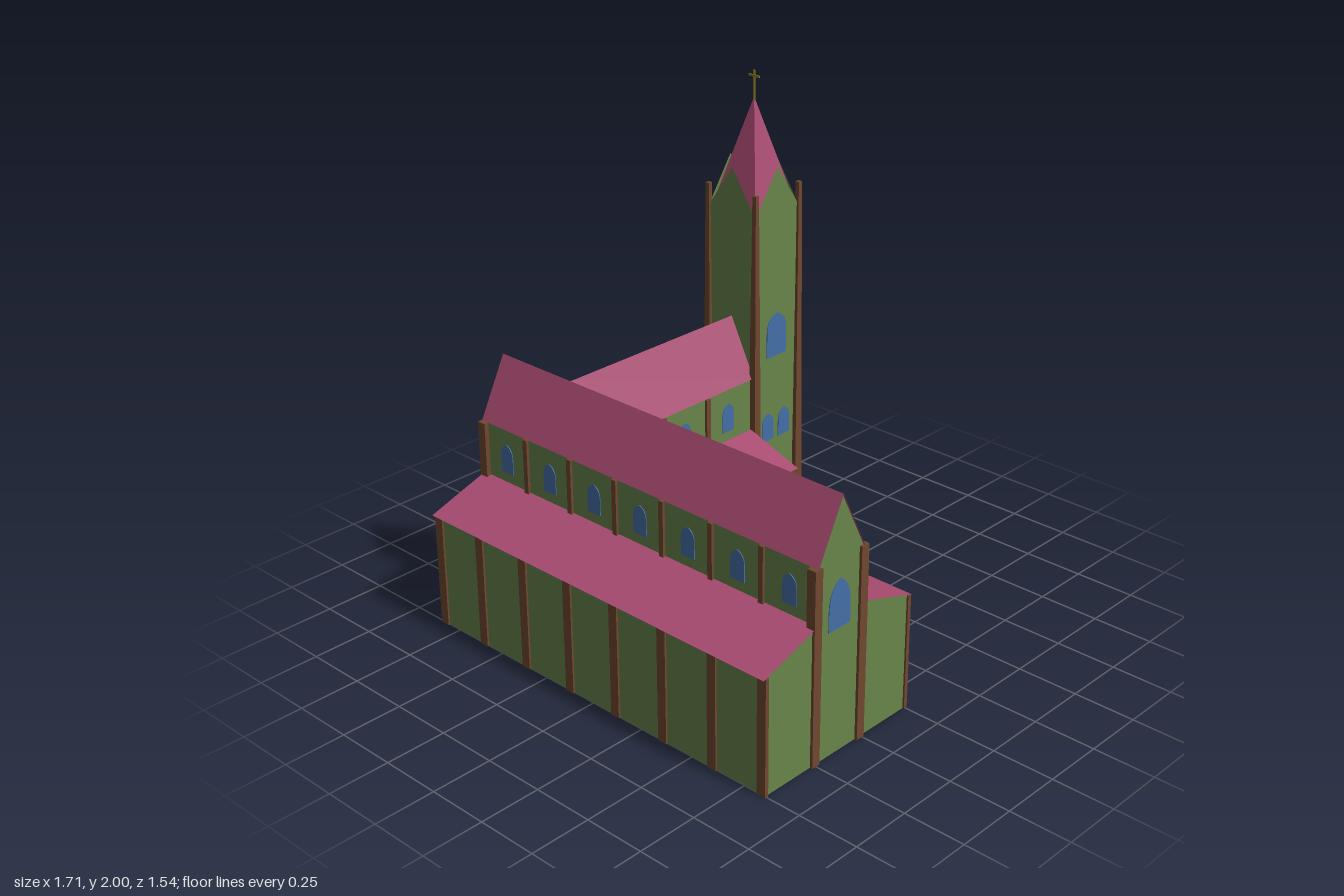
import * as THREE from 'three';

const mat = (color) => new THREE.MeshStandardMaterial({ color, side: THREE.DoubleSide, flatShading: true });

export function createModel() {
  const model = new THREE.Group();
  const green = mat(0x67854a), pink = mat(0xa84a70), brown = mat(0x70472f);
  const blue = mat(0x4470a8), gold = mat(0x8a7a20);

  const add = (name, geometry, material, parent = model) => {
    const mesh = new THREE.Mesh(geometry, material);
    mesh.name = name;
    parent.add(mesh);
    return mesh;
  };

  // Flat polygon through 3D corner points, triangulated along its main axis
  const sheet = (name, pts, material, parent) => {
    const v = pts.map((p) => new THREE.Vector3(...p));
    const n = new THREE.Vector3();
    v.forEach((a, i) => n.add(a.clone().cross(v[(i + 1) % v.length])));
    const [x, y, z] = n.toArray().map(Math.abs);
    const axes = x >= y && x >= z ? [1, 2] : y >= z ? [0, 2] : [0, 1];
    const flat = pts.map((p) => new THREE.Vector2(p[axes[0]], p[axes[1]]));
    const g = new THREE.BufferGeometry().setFromPoints(v);
    g.setIndex(THREE.ShapeUtils.triangulateShape(flat, []).flat());
    g.computeVertexNormals();
    return add(name, g, material, parent);
  };
  const wallX = (name, x, zy) => sheet(name, zy.map(([z, y]) => [x, y, z]), green);
  const wallZ = (name, z, xy) => sheet(name, xy.map(([x, y]) => [x, y, z]), green);
  const rect = (a, b, y0, y1) => [[a, y0], [b, y0], [b, y1], [a, y1]];

  const pillar = (name, x, z, y0, y1, w, d) =>
    add(name, new THREE.BoxGeometry(w, y1 - y0, d), brown).position.set(x, (y0 + y1) / 2, z);

  // Arched pane set into a wall; turn rotates it about y
  const arch = (name, x, y, z, w, h, turn, rise = 0.55, parent = model) => {
    const r = w / 2, spring = h - w * rise * 1.4, k = h - w * rise * 0.35;
    const s = new THREE.Shape().moveTo(-r, 0).lineTo(r, 0).lineTo(r, spring);
    s.quadraticCurveTo(r, k, 0, h).quadraticCurveTo(-r, k, -r, spring);
    const g = new THREE.ExtrudeGeometry(s, { depth: 0.006, bevelEnabled: false, curveSegments: 5 });
    const m = add(name, g.translate(0, 0, -0.003), blue, parent);
    m.position.set(x, y, z);
    m.rotation.y = turn;
  };

  // Main dimensions
  const E = 0.845, F = 0.75, N = -0.475, low = 0.472, mid = 0.56, eave = 0.78, top = 1.02;
  const zf = 0.5, zr = 0.38, zb = 0.26;              // nave: front, ridge, back
  const xw = -0.6, xr = -0.475, xe = -0.355;         // wing: west, ridge, east
  const xi = -0.11, zi = 0;                          // inner corner of the aisles
  const R = 0.853;

  // Aisle walls
  wallZ('frontAisleWall', F, rect(-E, E, 0, low));
  wallZ('backAisleWall', zi, rect(xi, E, 0, low));
  wallX('wingAisleWall', xi, rect(N, zi, 0, low));

  // End walls with gables
  wallX('eastGableWall', E, [[F, 0], [F, low], [zf, mid], [zf, eave], [zr, top], [zb, eave],
    [zb, mid], [zi, low], [zi, 0]]);
  wallX('westGableWall', -E, [[F, 0], [F, low], [zf, mid], [zf, eave], [zr, top], [zb, eave],
    [zb, low], [N, low], [N, 0]]);
  wallZ('wingGableWall', N, [[-E, 0], [-E, low], [xw, mid], [xw, eave], [xr, top], [xe, eave],
    [xe, mid], [xi, low], [xi, 0]]);

  // Clerestory walls
  wallZ('naveFrontClerestory', zf, rect(-E, E, mid, eave));
  wallZ('naveBackClerestoryWest', zb, rect(-E, xw, mid - 0.09, eave));
  wallZ('naveBackClerestoryEast', zb, rect(xe, E, mid, eave));
  for (const x of [xw, xe]) wallX('wingClerestory', x, rect(N, zb, mid, eave));

  // Nave and wing roofs meeting in two valleys
  sheet('naveRoofFront', [[-R, eave, zf], [R, eave, zf], [R, top, zr], [-R, top, zr]], pink);
  sheet('naveRoofBackEast', [[xr, top, zr], [R, top, zr], [R, eave, zb], [xe, eave, zb]], pink);
  sheet('naveRoofBackWest', [[-R, top, zr], [xr, top, zr], [xw, eave, zb], [-R, eave, zb]], pink);
  for (const x of [xw, xe])
    sheet('wingRoof', [[xr, top, zr], [x, eave, zb], [x, eave, -0.495], [xr, top, -0.495]], pink);

  // Lean-to aisle roofs
  const b = -0.48;
  sheet('frontAisleRoof', [[-R, mid, zf], [R, mid, zf], [R, low, 0.77], [-R, low, 0.77]], pink);
  sheet('backAisleRoof', [[xe, mid, zb], [R, mid, zb], [R, low, -0.01], [-0.1, low, -0.01]], pink);
  sheet('wingAisleRoofEast', [[xe, mid, zb], [-0.1, low, -0.01], [-0.1, low, b], [xe, mid, b]], pink);
  sheet('wingAisleRoofWest', [[xw, mid, zb], [-R, low, zb], [-R, low, b], [xw, mid, b]], pink);

  // Nave pillars and windows
  for (let i = 0; i < 8; i++) {
    const x = -0.84 + i * 0.24, end = i === 0 || i === 7;
    const xp = end ? Math.sign(x) * 0.832 : x;
    pillar('frontAislePillar', xp, F, 0, low, 0.04, 0.016);
    if (x > 0) pillar('backAislePillar', xp, zi, 0, low, 0.04, 0.016);
    if (!end) {
      pillar('clerestoryPillar', x, zf, mid - 0.02, eave, 0.022, 0.022);
      if (x > 0 || x < -0.55) pillar('clerestoryPillar', x, zb, mid - 0.02, eave, 0.022, 0.022);
    }
    if (i < 7) {
      const wx = x + 0.125;
      arch('clerestoryWindow', wx, 0.6, zf, 0.066, 0.12, 0);
      if (wx > 0 || wx < -0.6) arch('clerestoryWindow', wx, 0.6, zb, 0.066, 0.12, Math.PI);
    }
  }
  for (const x of [-0.837, 0.837])
    for (const z of [zf, zb]) pillar('naveCornerPillar', x, z, 0, eave, 0.038, 0.038);
  arch('gableWindow', E, 0.505, zr, 0.112, 0.195, Math.PI / 2, 0.75);

  // Wing pillars and windows
  for (const z of [0.005, -0.22, -0.46]) {
    pillar('wingAislePillar', xi, z, 0, low, 0.016, 0.04);
    pillar('wingAislePillar', -E, z, 0, low, 0.016, 0.04);
  }
  for (const x of [-0.83, -0.125]) pillar('wingEndPillar', x, N, 0, low, 0.04, 0.016);
  for (const x of [xw, xe]) {
    for (const z of [0.02, -0.225]) pillar('clerestoryPillar', x, z, mid - 0.02, eave, 0.022, 0.022);
    for (const z of [0.14, -0.1, -0.345])
      arch('clerestoryWindow', x, 0.6, z, 0.066, 0.12, x === xe ? Math.PI / 2 : -Math.PI / 2);
  }

  // Tower: four gabled sides with corner buttresses
  const tower = new THREE.Group();
  tower.name = 'tower';
  tower.position.set(xr, 0, -0.622);
  model.add(tower);
  const h = 0.125;
  for (let i = 0; i < 4; i++) {
    const side = new THREE.Group();
    side.name = 'towerSide';
    side.rotation.y = i * Math.PI / 2;
    tower.add(side);
    sheet('towerWall', [[-h, 0, h], [h, 0, h], [h, 1.455, h], [0, 1.64, h], [-h, 1.455, h]], green, side);
    if (i > 0) {
      for (const x of [-0.048, 0.048]) arch('towerLowWindow', x, 0.48, h, 0.066, 0.12, 0, 0.55, side);
      arch('towerHighWindow', 0, 0.845, h, 0.112, 0.185, 0, 0.45, side);
    }
    const post = new THREE.CylinderGeometry(0.009 * Math.SQRT2, 0.022 * Math.SQRT2, 1.55, 4);
    add('towerButtress', post.rotateY(Math.PI / 4), brown, side).position.set(h, 0.775, h);
  }

  // Spire and cross
  const spire = new THREE.ConeGeometry(0.115 * Math.SQRT2, 0.435, 4);
  add('spire', spire.rotateY(Math.PI / 4), pink, tower).position.y = 1.6775;
  add('crossUpright', new THREE.BoxGeometry(0.008, 0.12, 0.005), gold, tower).position.y = 1.94;
  add('crossArm', new THREE.BoxGeometry(0.056, 0.008, 0.005), gold, tower).position.y = 1.977;

  return model;
}
